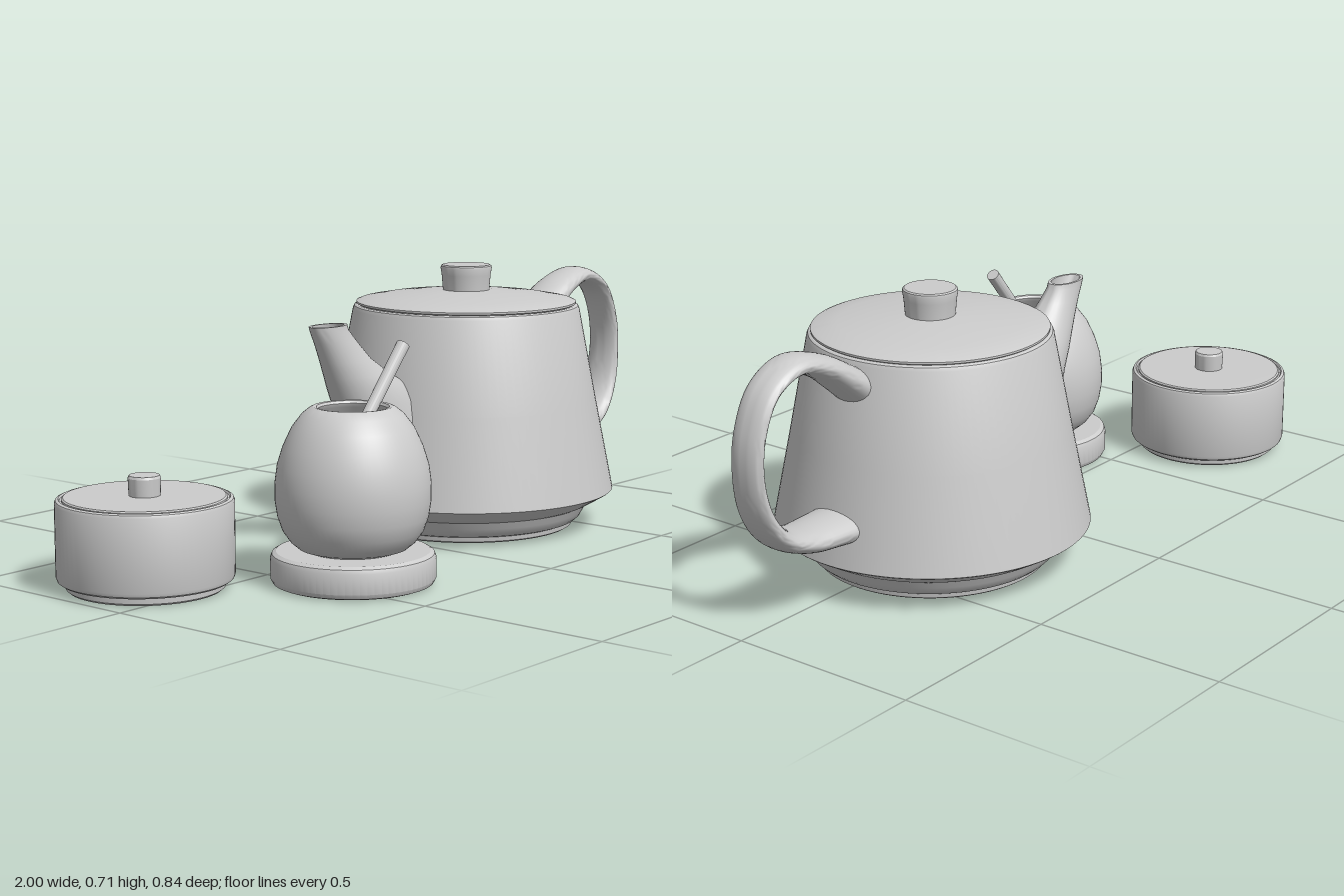
import * as THREE from 'three';
import { toCreasedNormals } from 'three/addons/utils/BufferGeometryUtils.js';

const ceramic = new THREE.MeshStandardMaterial({ color: 0xcccccc });
ceramic.name = 'light grey ceramic';

function add(parent, name, geometry, crease = 0.5) {
  const mesh = new THREE.Mesh(toCreasedNormals(geometry, crease), ceramic);
  mesh.name = name;
  parent.add(mesh);
  return mesh;
}

// Turned part from [radius, height] pairs, listed from the bottom up
function turned(parent, name, profile, segments = 72) {
  const points = profile.map(([r, y]) => new THREE.Vector2(r, y));
  return add(parent, name, new THREE.LatheGeometry(points, segments));
}

// Skin over elliptical rings; each ring has a centre and two half-axes
function skin(rings, sides = 32) {
  const positions = [], index = [];
  rings.forEach(({ c, u, v }, i) => {
    for (let j = 0; j < sides; j++) {
      const a = (j / sides) * Math.PI * 2;
      const p = c.clone().addScaledVector(u, Math.cos(a)).addScaledVector(v, Math.sin(a));
      positions.push(p.x, p.y, p.z);
      if (i === rings.length - 1) continue;
      const k = i * sides + j, n = i * sides + ((j + 1) % sides);
      index.push(k, n, k + sides, n, n + sides, k + sides);
    }
  });
  const geometry = new THREE.BufferGeometry();
  geometry.setAttribute('position', new THREE.Float32BufferAttribute(positions, 3));
  geometry.setIndex(index);
  return geometry;
}

// Spout: level rings [y, xMin, xMax, half width], up the outside, then down the bore
function spoutGeometry() {
  const levels = [
    [0.11, -0.395, -0.2, 0.11], [0.2, -0.36, -0.2, 0.108], [0.3, -0.312, -0.2, 0.1],
    [0.38, -0.275, -0.21, 0.092], [0.42, -0.256, -0.21, 0.085], [0.4, -0.265, -0.2, 0.09],
  ].slice(0, 3).map(([y, a, , w]) => [y, a + 0.32 - 0.005, 0.1, w]);
  levels.push(
    [0.38, -0.2, 0.08, 0.088], [0.43, -0.225, 0.02, 0.077], [0.46, -0.239, -0.035, 0.066],
    [0.5, -0.258, -0.098, 0.053], [0.55, -0.283, -0.15, 0.042], [0.58, -0.3, -0.178, 0.037],
    [0.595, -0.306, -0.183, 0.036], [0.595, -0.296, -0.193, 0.029],
    [0.55, -0.272, -0.162, 0.033], [0.48, -0.235, -0.1, 0.04], [0.48, -0.17, -0.169, 0.001],
  );
  // The foot of the spout leans out with the underside
  const foot = [-0.075, -0.118, -0.164];
  foot.forEach((x, i) => { levels[i][1] = x; });
  return skin(levels.map(([y, a, b, w]) => ({
    c: new THREE.Vector3((a + b) / 2, y, 0),
    u: new THREE.Vector3((b - a) / 2, 0, 0),
    v: new THREE.Vector3(0, 0, -w),
  })));
}

// Handle: flattened section swept round a loop; stations are [x, y, half thickness, half width]
function handleGeometry() {
  const stations = [
    [0.59, 0.515, 0.045, 0.072], [0.66, 0.565, 0.038, 0.067], [0.74, 0.615, 0.03, 0.06],
    [0.83, 0.64, 0.023, 0.054], [0.92, 0.6, 0.019, 0.049], [0.968, 0.51, 0.018, 0.048],
    [0.978, 0.41, 0.018, 0.049], [0.955, 0.31, 0.021, 0.055], [0.9, 0.237, 0.026, 0.064],
    [0.82, 0.205, 0.031, 0.072], [0.73, 0.198, 0.038, 0.079], [0.62, 0.195, 0.046, 0.088],
  ];
  const path = new THREE.CatmullRomCurve3(stations.map(([x, y]) => new THREE.Vector3(x, y, 0)));
  const size = new THREE.CatmullRomCurve3(stations.map(([, , t, w]) => new THREE.Vector3(t, w, 0)));
  const rings = [];
  for (let i = 0; i <= 66; i++) {
    const t = i / 66, tangent = path.getTangent(t), s = size.getPoint(t);
    rings.push({
      c: path.getPoint(t),
      u: new THREE.Vector3(-tangent.y, tangent.x, 0).multiplyScalar(s.x),
      v: new THREE.Vector3(0, 0, s.y),
    });
  }
  return skin(rings);
}

function makeTeapot() {
  const teapot = new THREE.Group();
  teapot.name = 'teapot';
  teapot.position.z = -0.022;

  const pot = new THREE.Group();
  pot.name = 'pot';
  pot.position.x = 0.32;
  teapot.add(pot);
  turned(pot, 'body', [
    [0, 0.002], [0.285, 0.002], [0.291, 0.006], [0.293, 0.018], [0.304, 0.022], [0.314, 0.031],
    [0.322, 0.045], [0.332, 0.064], [0.343, 0.069], [0.396, 0.1], [0.401, 0.104], [0.4, 0.11],
    [0.353, 0.345], [0.306, 0.59], [0.302, 0.599], [0.297, 0.602], [0.289, 0.602], [0, 0.602],
  ], 96);
  turned(pot, 'lid', [
    [0.288, 0.6], [0.296, 0.605], [0.296, 0.61], [0.286, 0.614], [0.23, 0.624],
    [0.15, 0.633], [0.075, 0.639], [0, 0.642],
  ], 96);
  turned(pot, 'lidKnob', [
    [0.062, 0.63], [0.063, 0.645], [0.066, 0.68], [0.069, 0.698], [0.068, 0.704], [0.064, 0.707], [0, 0.707],
  ], 48);

  add(teapot, 'spout', spoutGeometry(), 0.7);
  add(teapot, 'handle', handleGeometry(), 0.9);
  return teapot;
}

function makeCup() {
  const cup = new THREE.Group();
  cup.name = 'cup';
  cup.position.set(-0.426, 0, 0.216);

  turned(cup, 'saucer', [
    [0, 0.003], [0.185, 0.003], [0.196, 0.007], [0.202, 0.018], [0.202, 0.068],
    [0.198, 0.078], [0.188, 0.084], [0, 0.084],
  ]);

  // Egg-shaped wall with a hollow inside
  const outer = [
    [0.1, 0.08], [0.134, 0.092], [0.153, 0.108], [0.172, 0.135], [0.184, 0.17], [0.19, 0.21],
    [0.19, 0.25], [0.184, 0.295], [0.17, 0.34], [0.149, 0.385], [0.124, 0.418], [0.105, 0.433],
    [0.096, 0.437], [0.088, 0.436], [0.084, 0.43],
  ];
  const inner = [[0.088, 0.42], [0.13, 0.375], [0.158, 0.31], [0.168, 0.23], [0.15, 0.15], [0.1, 0.11], [0, 0.105]];
  turned(cup, 'bowl', [...outer, ...inner]);

  // Stirrer leaning on the rim
  const low = new THREE.Vector3(-0.085, 0.24, 0), high = new THREE.Vector3(0.19, 0.567, 0);
  const axis = high.clone().sub(low);
  const stirrer = add(cup, 'stirrer', new THREE.CylinderGeometry(0.017, 0.014, axis.length(), 20), 0.6);
  stirrer.position.copy(low).add(high).multiplyScalar(0.5);
  stirrer.quaternion.setFromUnitVectors(new THREE.Vector3(0, 1, 0), axis.normalize());
  return cup;
}

function makeJar() {
  const jar = new THREE.Group();
  jar.name = 'sugarJar';
  jar.position.set(-0.784, 0, -0.135);
  turned(jar, 'jarBody', [
    [0, 0.002], [0.186, 0.002], [0.192, 0.007], [0.193, 0.021], [0.206, 0.023], [0.213, 0.028],
    [0.216, 0.037], [0.216, 0.215], [0.213, 0.222], [0.206, 0.225], [0.203, 0.221], [0, 0.221],
  ]);
  turned(jar, 'jarLid', [[0.199, 0.215], [0.199, 0.225], [0.195, 0.228], [0, 0.229]]);
  turned(jar, 'jarKnob', [[0.038, 0.222], [0.04, 0.272], [0.037, 0.278], [0, 0.279]], 32);
  return jar;
}

export function createModel() {
  const model = new THREE.Group();
  model.name = 'teaSet';
  model.add(makeTeapot(), makeCup(), makeJar());
  return model;
}
